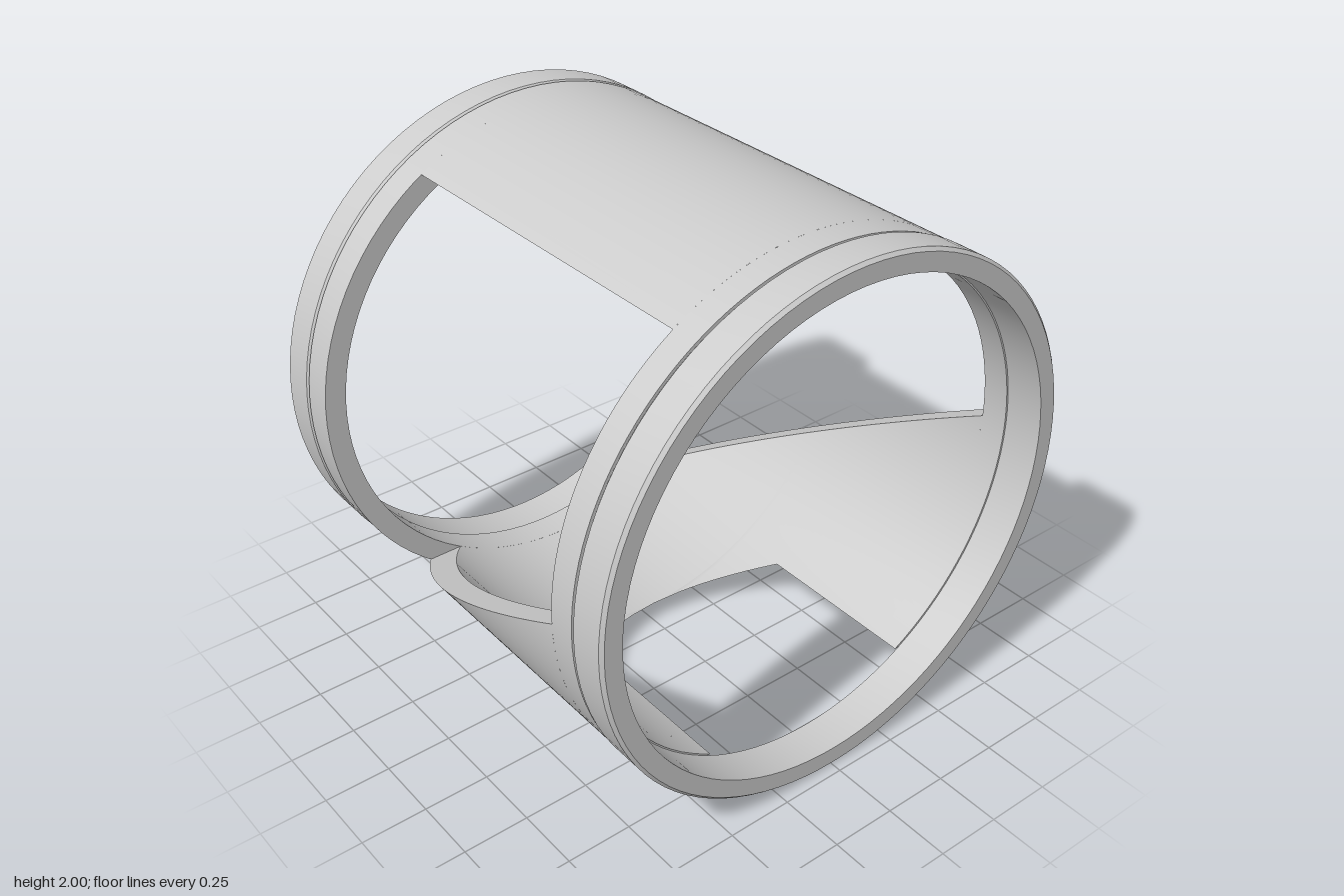
import * as THREE from 'three';
import { mergeGeometries, toCreasedNormals } from 'three/addons/utils/BufferGeometryUtils.js';
import { ParametricGeometry } from 'three/addons/geometries/ParametricGeometry.js';

const OUTER = 0.997, INNER = 0.915;
const FRONT = 0.81, BACK = -0.81;          // where the body meets the end rings
const WIN_FRONT = 0.706, WIN_BACK = -0.69; // ends of the side windows
const WIN_TOP = 1.845, FLOOR_CUT = 0.2;
const lerp = THREE.MathUtils.lerp;

// angle, measured from the bottom of the tube, where a circle reaches height y
const angleAt = (y, r) => Math.acos(THREE.MathUtils.clamp((1 - y) / r, -1, 1));

function patch(fn, nu, nv, flip) {
  return new ParametricGeometry((u, v, p) => fn(flip ? 1 - u : u, v, p), nu, nv);
}

// Thick piece of tube from z0 to z1, kept between heights low(z) and high(z) on both sides
function shell(z0, z1, low, high, { steps = 1, arcs = 48, caps = false } = {}) {
  const parts = [];
  for (const s of [1, -1]) {
    const onTube = (r, z, t, p) => {
      const a = lerp(angleAt(low(z), r), angleAt(high(z), r), t);
      return p.set(s * r * Math.sin(a), 1 - r * Math.cos(a), z);
    };
    const wall = (r, flip) => parts.push(
      patch((u, v, p) => onTube(r, lerp(z0, z1, u), v, p), steps, arcs, flip));
    wall(OUTER, s > 0);
    wall(INNER, s < 0);

    // flat cut edges
    const edge = (height, flip) => parts.push(patch((u, v, p) => {
      const z = lerp(z0, z1, u), y = height(z);
      const r = v => v * Math.sin(angleAt(y, v));
      p.set(s * lerp(r(OUTER), r(INNER), v), y, z);
    }, steps, 1, flip));
    if (low(z1) > 0) edge(low, s < 0);
    if (high(z1) < 2) edge(high, s > 0);

    // flat end faces
    if (caps) for (const z of [z0, z1]) {
      const a = new THREE.Vector3(), b = new THREE.Vector3();
      parts.push(patch((u, v, p) =>
        p.lerpVectors(onTube(OUTER, z, u, a), onTube(INNER, z, u, b), v),
      arcs, 1, (z === z1) !== (s > 0)));
    }
  }
  return mergeGeometries(parts);
}

// Chamfered end ring
function ringGeometry() {
  const h = 0.075, c = 0.012, r = 0.92;
  const profile = [
    [r, -h], [1 - c, -h], [1, c - h], [1, h - c], [1 - c, h], [r, h], [r, -h],
  ].map(([x, y]) => new THREE.Vector2(x, y));
  const g = new THREE.LatheGeometry(profile, 96);
  g.rotateX(Math.PI / 2);
  return toCreasedNormals(g, 0.5);
}

export function createModel() {
  const model = new THREE.Group();
  const solid = new THREE.MeshStandardMaterial({ color: 0xcccccc });
  const thin = new THREE.MeshStandardMaterial({ color: 0xcccccc, side: THREE.DoubleSide });
  const add = (name, geometry, material = thin) => {
    const mesh = new THREE.Mesh(geometry, material);
    mesh.name = name;
    model.add(mesh);
    return mesh;
  };
  const at = y => () => y;

  // End rings
  const ring = ringGeometry();
  add('frontRing', ring, solid).position.set(0, 1, 0.887);
  add('backRing', ring, solid).position.set(0, 1, -0.887);

  // Collars beside the rings; the front one is open at the bottom
  add('frontCollar', shell(WIN_FRONT, FRONT, at(FLOOR_CUT), at(2), { caps: true }));
  add('backCollar', shell(BACK, WIN_BACK, at(0), at(2), { caps: true }));

  // Roof strip between the windows
  add('roofPanel', shell(WIN_BACK, WIN_FRONT, at(WIN_TOP), at(2), { arcs: 16 }));

  // Lower trough: sloping window sills above, sloping floor opening below
  const slopeStart = -0.233, slopeEnd = 0.154;
  const sill = z => lerp(0.228, 0.983, (z - WIN_BACK) / (WIN_FRONT - WIN_BACK));
  const floor = z => FLOOR_CUT *
    THREE.MathUtils.clamp((z - slopeStart) / (slopeEnd - slopeStart), 0, 1);
  const innerStart = lerp(slopeStart, slopeEnd, (1 - INNER) / FLOOR_CUT);
  const stations = [WIN_BACK, slopeStart, innerStart, slopeEnd, WIN_FRONT];
  const trough = stations.slice(1).map((z, i) =>
    shell(stations[i], z, i === 0 ? at(0) : floor, sill, { steps: 14, arcs: 24 }));
  add('lowerTrough', mergeGeometries(trough));

  return model;
}
